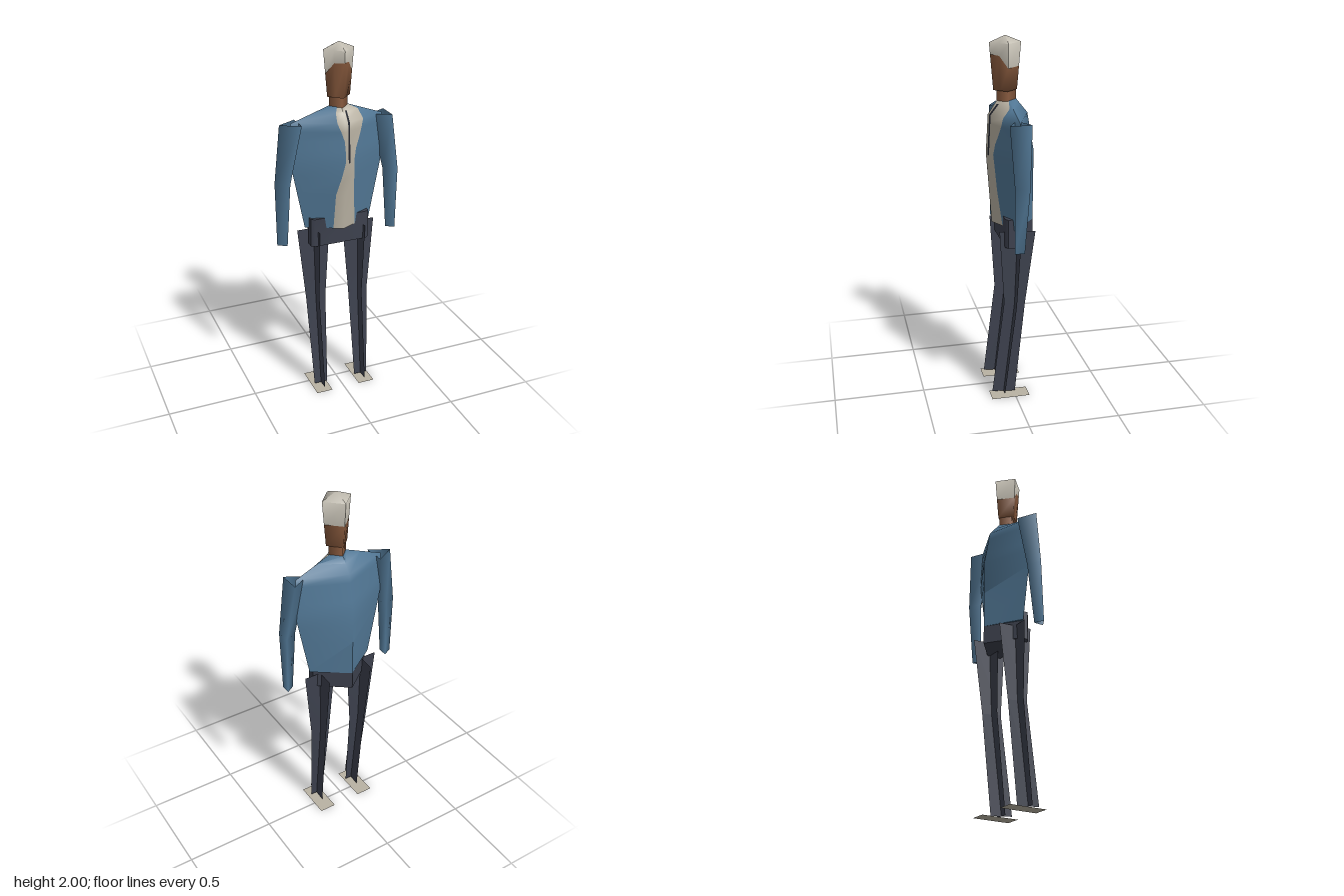
import * as THREE from 'three';
import { toCreasedNormals } from 'three/addons/utils/BufferGeometryUtils.js';

const CX = 0.008; // body centre line

function mat(name, color, side = THREE.DoubleSide) {
  const m = new THREE.MeshStandardMaterial({ color, side });
  m.name = name;
  return m;
}

// Skin closed rings of [x, y, z], listed bottom to top; columnMat picks a material per column.
function loft(rings, { columnMat = () => 0, capTop = false, capBottom = false, crease = 1.05 } = {}) {
  const n = rings[0].length, pos = rings.flat(2), index = [];
  const g = new THREE.BufferGeometry();
  for (let j = 0; j < n; j++) {
    const start = index.length, k = (j + 1) % n;
    for (let i = 0; i < rings.length - 1; i++) {
      const a = i * n + j, b = i * n + k;
      index.push(a, b, b + n, a, b + n, a + n);
    }
    g.addGroup(start, index.length - start, columnMat(j));
  }
  const start = index.length, top = (rings.length - 1) * n;
  for (let j = 1; j < n - 1; j++) {
    if (capTop) index.push(top, top + j, top + j + 1);
    if (capBottom) index.push(0, j + 1, j);
  }
  if (index.length > start) g.addGroup(start, index.length - start, 0);
  g.setAttribute('position', new THREE.Float32BufferAttribute(pos, 3));
  g.setIndex(index);
  return toCreasedNormals(g, crease);
}

// Flat strip through rows of two edge points.
function strip(rows) {
  const g = new THREE.BufferGeometry(), index = [];
  for (let i = 0; i < rows.length - 1; i++) {
    const a = i * 2;
    index.push(a, a + 1, a + 3, a, a + 3, a + 2);
  }
  g.setAttribute('position', new THREE.Float32BufferAttribute(rows.flat(2), 3));
  g.setIndex(index);
  g.computeVertexNormals();
  return g;
}

// Linear lookup in a table whose rows start with y, ascending.
function sample(table, y) {
  let i = 0;
  while (i < table.length - 2 && y > table[i + 1][0]) i++;
  const a = table[i], b = table[i + 1], t = (y - a[0]) / (b[0] - a[0]);
  return a.map((v, k) => v + (b[k] - v) * t);
}

export function createModel() {
  const model = new THREE.Group();
  const jacket = mat('jacket blue', 0x527896);
  const shirt = mat('shirt beige', 0xb9b2a3);
  const hair = mat('hair pale grey', 0xc6c1b5);
  const skin = mat('skin brown', 0x8a5b3e);
  const trousers = mat('trouser slate', 0x3d414e);
  const dark = mat('tie dark', 0x23262f);
  const add = (name, geometry, material) => {
    const m = new THREE.Mesh(geometry, material);
    m.name = name;
    model.add(m);
    return m;
  };

  // Torso: diamond sections [y, half width, front z, back z, side z]
  const body = [
    [1.0, 0.188, 0.097, -0.132, 0], [1.39, 0.265, 0.126, -0.134, 0],
    [1.595, 0.255, 0.114, -0.098, 0], [1.67, 0.05, 0.062, -0.038, 0.012],
  ];
  // Shirt opening between the jacket fronts: [y, right edge x, left edge x]
  const opening = [
    [1.0, -0.042, 0.09], [1.2, -0.035, 0.072], [1.3, -0.01, 0.07], [1.39, 0.007, 0.066],
    [1.45, 0.006, 0.078], [1.5, 0.003, 0.1], [1.55, -0.012, 0.118], [1.595, -0.03, 0.13],
    [1.64, -0.025, 0.115], [1.67, -0.01, 0.057],
  ];
  const frontZ = (x, y) => {
    const [, hw, zf, , zs] = sample(body, y);
    return zf + (zs - zf) * Math.min(1, Math.abs(x - CX) / hw);
  };
  const torsoRings = opening.map(([y, r, l]) => {
    const [, hw, zf, zb, zs] = sample(body, y);
    return [
      [CX - hw, y, zs], [r, y, frontZ(r, y)], [CX, y, zf],
      [l, y, frontZ(l, y)], [CX + hw, y, zs], [CX, y, zb],
    ];
  });
  add('torso', loft(torsoRings, {
    columnMat: (j) => (j === 1 || j === 2 ? 1 : 0), capTop: true, capBottom: true,
  }), [jacket, shirt]);

  // Narrow tie line lying on the shirt
  add('tie', strip([1.38, 1.595, 1.65].map((y) =>
    [0.024, 0.036].map((x) => [x, y, frontZ(x, y) + 0.003]))), dark);

  // Neck
  const neck = add('neck', new THREE.CylinderGeometry(0.051, 0.051, 0.07, 4), skin);
  neck.position.set(CX, 1.695, 0.015);

  // Head: diamond column, split along the hairline
  const HZ = 0.021;
  const corners = [[-1, 0], [-0.5, 0.5], [0, 1], [0.5, 0.5], [1, 0], [0, -1]];
  const hairline = [1.84, 1.9, 1.905, 1.9, 1.84, 1.84];
  const headRing = (yAt) => corners.map(([x, z], j) => {
    const y = yAt(j), r = 0.063 + 0.021 * (y - 1.72) / 0.245;
    return [CX + x * r, y, HZ + z * r];
  });
  add('face', loft([headRing(() => 1.72), headRing((j) => hairline[j])],
    { capBottom: true, crease: 1.6 }), skin);
  add('hair', loft([
    headRing((j) => hairline[j]), headRing(() => 1.965), corners.map(() => [CX, 2, HZ]),
  ], { crease: 1.2 }), hair);

  // Arms: open three-sided sleeves [y, apex x, base x, half depth, centre z]
  const sleeves = {
    rightArm: [[0.93, -0.345, -0.296, 0.027, 0.018], [1.28, -0.346, -0.273, 0.04, 0.006],
      [1.595, -0.312, -0.21, 0.058, 0.004]],
    leftArm: [[0.93, 0.293, 0.337, 0.027, 0.018], [1.28, 0.273, 0.345, 0.04, 0.006],
      [1.595, 0.195, 0.297, 0.058, 0.004]],
  };
  for (const [name, rows] of Object.entries(sleeves)) {
    add(name, loft(rows.map(([y, ax, bx, d, z]) =>
      [[ax, y, z], [bx, y, z + d], [bx, y, z - d]]), { crease: 2.2 }), jacket);
  }

  // Pelvis: flat front, pointed back
  const pelvisPlan = [[-0.168, 0.04], [-0.15, 0.054], [0.15, 0.054], [0.168, 0.04],
    [0.168, 0], [0, -0.132], [-0.168, 0]];
  const pelvisRing = (y, top) => pelvisPlan.map(([x, z]) =>
    [CX + x, top && z < 0 ? 1.0 : y, z]);
  add('pelvis', loft([pelvisRing(0.9, false), pelvisRing(1.06, true)],
    { capTop: true, capBottom: true, crease: 0.7 }), trousers);

  // Legs: two crossed panels each, standing on flat soles
  const legRows = [ // y, centre x, half width, front z, back z
    [0.017, 0.125, 0.039, 0.125, -0.005], [0.56, 0.128, 0.058, 0.057, -0.06],
    [0.98, 0.132, 0.094, 0.082, -0.115],
  ];
  for (const [side, s] of [['left', 1], ['right', -1]]) {
    add(side + 'LegAcross', strip(legRows.map(([y, x, w, f, b]) =>
      [-w, w].map((dx) => [CX + s * x + dx, y, (f + b) / 2]))), trousers);
    add(side + 'LegFrontToBack', strip(legRows.map(([y, x, , f, b]) =>
      [[CX + s * x, y + 0.006, f], [CX + s * x, y - 0.006, b]])), trousers);
    const foot = add(side + 'Foot', new THREE.PlaneGeometry(0.094, 0.214), shirt);
    foot.rotation.x = -Math.PI / 2;
    foot.position.set(CX + s * 0.13, 0.001, 0.028);
  }
  return model;
}
